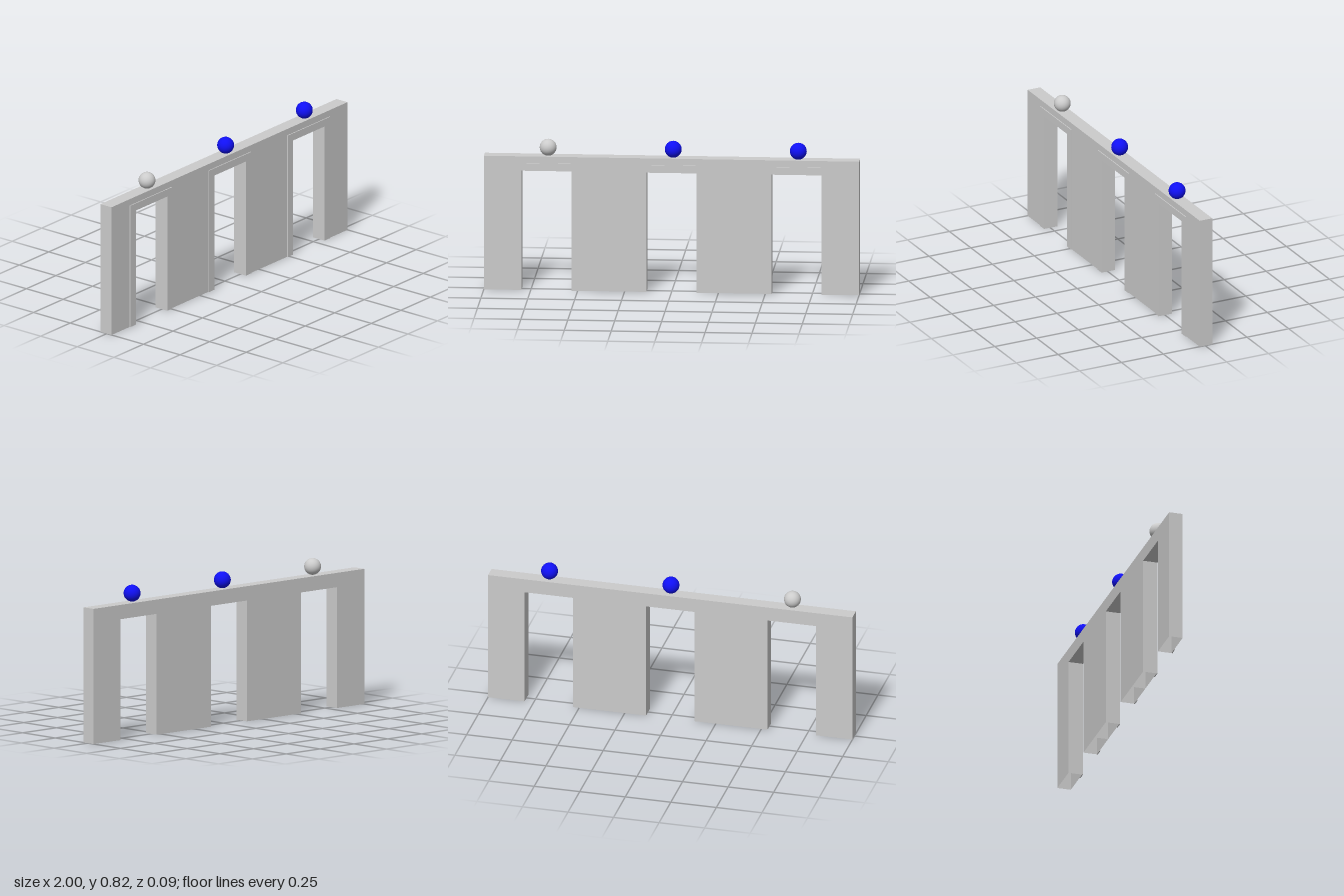
import * as THREE from 'three';

const PITCH = 2 / 3;          // width of one wall bay
const DOOR_HALF = 0.133, DOOR_TOP = 0.65;
const WALL_TOP = 0.727, WALL_BACK = -0.043, WALL_FRONT = 0.032;
const TRIM_FRONT = 0.037;

const grey = new THREE.MeshStandardMaterial({ color: 0xcccccc, side: THREE.DoubleSide });
const blue = new THREE.MeshStandardMaterial({ color: 0x1010f4 });

// Upside-down U: an outer rectangle with the doorway cut out of its foot
function archShape(half, top) {
  return new THREE.Shape([
    [-half, 0], [-DOOR_HALF, 0], [-DOOR_HALF, DOOR_TOP], [DOOR_HALF, DOOR_TOP],
    [DOOR_HALF, 0], [half, 0], [half, top], [-half, top],
  ].map(([x, y]) => new THREE.Vector2(x, y)));
}

function archGeometry(half, top, back, front) {
  const geo = new THREE.ExtrudeGeometry(archShape(half, top), { depth: front - back, bevelEnabled: false });
  return geo.translate(0, 0, back);
}

// Drops the triangles lying on the ground, leaving the hollow legs open below
function openBottom(geo) {
  const p = geo.attributes.position, n = geo.attributes.normal;
  const pos = [], nor = [];
  for (let i = 0; i < p.count; i += 3) {
    if ([0, 1, 2].every(k => Math.abs(p.getY(i + k)) < 1e-6)) continue;
    for (let k = i; k < i + 3; k++) {
      pos.push(p.getX(k), p.getY(k), p.getZ(k));
      nor.push(n.getX(k), n.getY(k), n.getZ(k));
    }
  }
  const out = new THREE.BufferGeometry();
  out.setAttribute('position', new THREE.Float32BufferAttribute(pos, 3));
  out.setAttribute('normal', new THREE.Float32BufferAttribute(nor, 3));
  return out;
}

export function createModel() {
  const model = new THREE.Group();
  model.name = 'tripleDoorway';

  const wallGeo = openBottom(archGeometry(PITCH / 2, WALL_TOP, WALL_BACK, WALL_FRONT));
  const trimGeo = archGeometry(0.179, 0.691, WALL_FRONT, TRIM_FRONT);
  const ballGeo = new THREE.SphereGeometry(0.045, 32, 24);

  // Three identical bays, each with a wall, a door trim and a ball on top
  [grey, blue, blue].forEach((ballMaterial, i) => {
    const bay = new THREE.Group();
    bay.name = 'bay' + (i + 1);
    bay.position.x = (i - 1) * PITCH;

    const add = (name, geo, material) => {
      const mesh = new THREE.Mesh(geo, material);
      mesh.name = name;
      bay.add(mesh);
      return mesh;
    };
    add('wall', wallGeo, grey);
    add('doorTrim', trimGeo, grey);
    add('ball', ballGeo, ballMaterial).position.set(0.007, WALL_TOP + 0.045, 0);
    model.add(bay);
  });
  return model;
}
